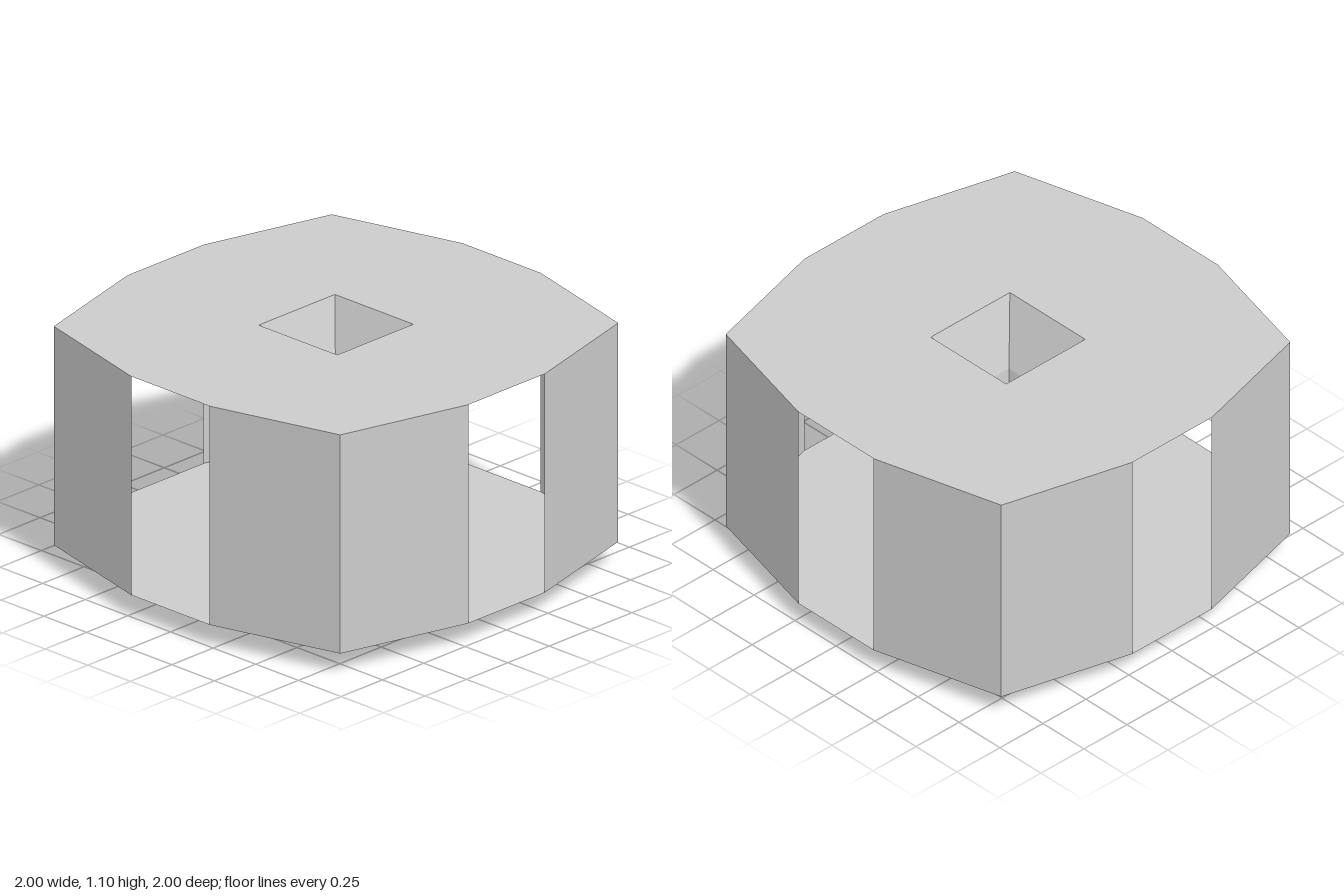
import * as THREE from 'three';

const BASE = 0.1, TOP = 1.1, INNER = 0.23, CORNER = 0.84;

export function createModel() {
  const model = new THREE.Group();
  const material = new THREE.MeshStandardMaterial({
    color: 0xcccccc, flatShading: true, side: THREE.DoubleSide,
  });

  // Twelve-sided plate outline: the same three points turned to each side
  const outline = [];
  for (let i = 0; i < 4; i++) {
    for (const [x, y] of [[INNER, 1], [-INNER, 1], [-CORNER, CORNER]]) {
      outline.push(new THREE.Vector2(x, y).rotateAround(new THREE.Vector2(), i * Math.PI / 2));
    }
  }

  // Thin plate with a square hole of the given half width
  function addPlate(name, y, h) {
    const shape = new THREE.Shape(outline);
    shape.holes.push(new THREE.Path([[-h, -h], [-h, h], [h, h], [h, -h]]
      .map(([a, b]) => new THREE.Vector2(a, b))));
    const plate = new THREE.Mesh(new THREE.ShapeGeometry(shape).rotateX(-Math.PI / 2), material);
    plate.name = name;
    plate.position.y = y;
    model.add(plate);
  }
  addPlate('topPlate', TOP, INNER);
  addPlate('bottomPlate', BASE, 0.103);

  // Folded corner walls of two thin panels, leaving an opening on each side
  const path = [[INNER, 1], [CORNER, CORNER], [1, INNER]];
  for (let i = 0; i < 4; i++) {
    const wall = new THREE.Group();
    wall.name = 'cornerWall' + (i + 1);
    for (let j = 0; j < 2; j++) {
      const [x0, z0] = path[j], [x1, z1] = path[j + 1];
      const panel = new THREE.Mesh(
        new THREE.PlaneGeometry(Math.hypot(x1 - x0, z1 - z0), TOP - BASE), material);
      panel.name = 'wallPanel';
      panel.position.set((x0 + x1) / 2, (BASE + TOP) / 2, (z0 + z1) / 2);
      panel.rotation.y = Math.atan2(z0 - z1, x1 - x0);
      wall.add(panel);
    }
    wall.rotation.y = i * Math.PI / 2;
    model.add(wall);
  }

  // Hollow square funnel and stem, closed at its foot: [half width, height]
  const profile = [[0, 0], [0.107, 0], [0.096, 0.635], [0.117, 0.82], [INNER, TOP]]
    .map(([h, y]) => new THREE.Vector2(h * Math.SQRT2, y));
  const funnel = new THREE.Mesh(new THREE.LatheGeometry(profile, 4, Math.PI / 4), material);
  funnel.name = 'funnelStem';
  model.add(funnel);

  return model;
}
